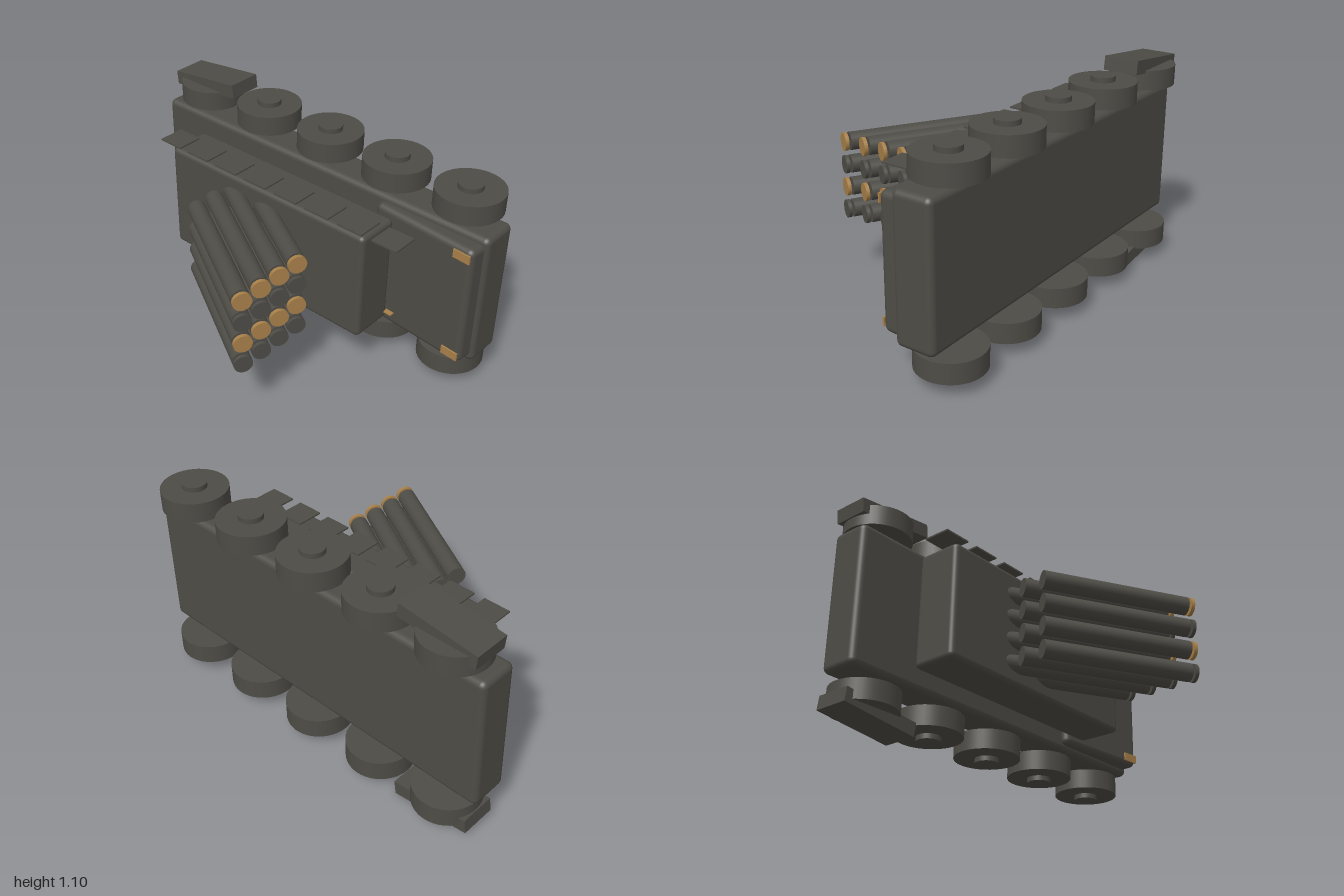
import * as THREE from 'three';
import { RoundedBoxGeometry } from 'three/addons/geometries/RoundedBoxGeometry.js';

const MID = 0.555; // middle of the vehicle's width, along y

export function createModel() {
  const root = new THREE.Group();
  root.name = 'launcherTruck';

  const body = new THREE.MeshStandardMaterial({ color: 0x4e4c46 });
  body.name = 'olive grey';
  const tan = new THREE.MeshStandardMaterial({ color: 0xa88049 });
  tan.name = 'tan';

  const add = (name, geometry, material, x, y, z, parent = root) => {
    const mesh = new THREE.Mesh(geometry, material);
    mesh.name = name;
    mesh.position.set(x, y, z);
    parent.add(mesh);
    return mesh;
  };

  // Hull and upper deck, lying on their side with the roof towards +z
  add('hull', new RoundedBoxGeometry(2, 0.695, 0.2, 4, 0.03), body, 0, MID, -0.4);
  add('upperDeck', new RoundedBoxGeometry(1.225, 0.57, 0.23, 4, 0.025), body, -0.078, MID, -0.138);

  // Sloping cab with two thin lamps on its face
  const cab = new THREE.Group();
  cab.name = 'cab';
  cab.position.set(0.7, MID, -0.3);
  cab.rotation.y = -0.08;
  root.add(cab);
  add('cabShell', new RoundedBoxGeometry(0.56, 0.635, 0.12, 4, 0.03), body, 0, 0, 0, cab);
  for (const s of [1, -1]) {
    add('lamp', new THREE.BoxGeometry(0.09, 0.042, 0.009), tan, 0.227, s * 0.276, 0.064, cab);
  }
  add('marker', new THREE.BoxGeometry(0.045, 0.006, 0.03), tan, 0.555, 0.31, -0.24);

  // Five wheels on each side, with hubs
  const wheel = new THREE.CylinderGeometry(0.164, 0.164, 0.1, 40);
  const hub = new THREE.CylinderGeometry(0.06, 0.06, 0.03, 32);
  const guard = new THREE.BoxGeometry(0.407, 0.07, 0.18);
  for (const s of [1, -1]) {
    for (let i = 0; i < 5; i++) {
      const x = -0.8 + i * 0.4;
      add('wheel', wheel, body, x, MID + s * 0.43, -0.437);
      add('hub', hub, body, x, MID + s * 0.49, -0.437);
    }
    // Angled guard over the rear wheel
    add('rearGuard', guard, body, -0.773, MID + s * 0.49, -0.437).rotation.z = s * 0.117;
  }

  // Row of thin side plates along one edge of the deck
  const plate = new THREE.BoxGeometry(0.137, 0.008, 0.136);
  for (let i = 0; i < 8; i++) {
    add('sidePlate', plate, body, -0.692 + i * 0.1917, 0.862, -0.083);
  }

  // Small studs in the gap below the deck
  const stud = new THREE.BoxGeometry(0.012, 0.02, 0.012);
  for (let i = 0; i < 5; i++) {
    add('stud', stud, body, -0.566 + i * 0.2325, MID, -0.28);
  }

  // Launcher: a four by four block of tilted tubes with separate end caps
  const tube = new THREE.CylinderGeometry(0.045, 0.045, 0.74, 32).rotateZ(-Math.PI / 2);
  const cap = new THREE.CylinderGeometry(0.045, 0.045, 0.018, 32).rotateZ(-Math.PI / 2);
  for (let row = 0; row < 4; row++) {
    for (let col = 0; col < 4; col++) {
      const launchTube = new THREE.Group();
      launchTube.name = 'launchTube';
      launchTube.position.set(0, 0.379 + row * 0.117, 0.36 - col * 0.12);
      launchTube.rotation.y = -Math.PI / 6;
      root.add(launchTube);
      add('tube', tube, body, 0, 0, 0, launchTube);
      add('tubeCap', cap, row % 2 ? tan : body, 0.391, 0, 0, launchTube);
    }
  }

  return root;
}
